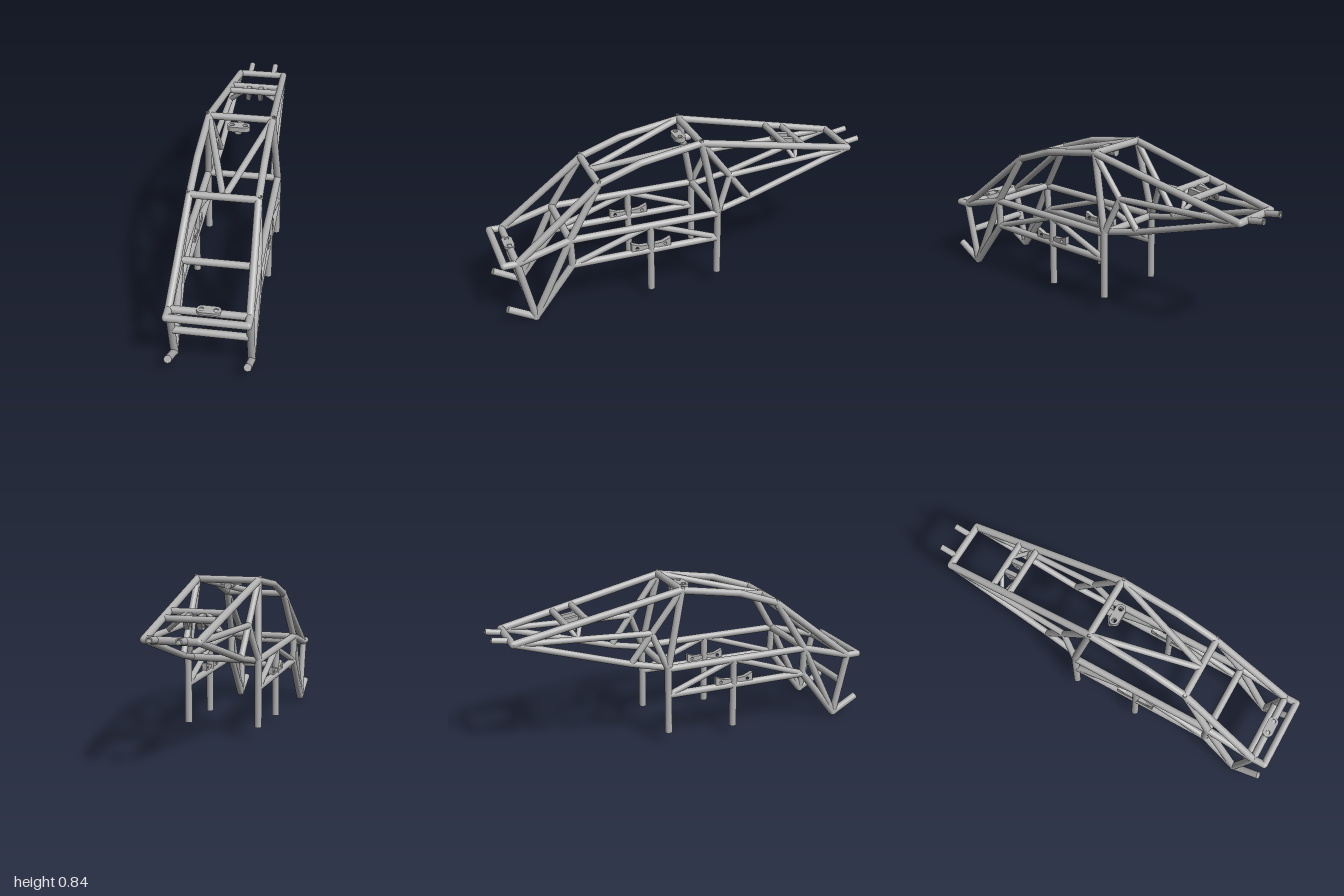
import * as THREE from 'three';

const steel = new THREE.MeshStandardMaterial({ color: 0xb0b0b0 });
steel.name = 'bare steel';

const R = 0.019;
const V = (p) => new THREE.Vector3(...p);
const mirror = (p) => [-p[0], p[1], p[2]];

export function createModel() {
  const model = new THREE.Group();
  model.name = 'tubeFrame';

  function add(name, geo, parent = model) {
    const mesh = new THREE.Mesh(geo, steel);
    mesh.name = name;
    parent.add(mesh);
    return mesh;
  }

  // Straight tube between two points; hollow tubes show their bore at both ends
  function tube(name, a, b, r = R, hollow = false) {
    const p = V(a), q = V(b), len = p.distanceTo(q), h = len / 2, i = r * 0.6;
    const geo = hollow
      ? new THREE.LatheGeometry(
        // doubled points keep the rims crisp
        [[i, -h], [i, -h], [r, -h], [r, -h], [r, h], [r, h], [i, h], [i, h], [i, -h]]
          .map(([x, y]) => new THREE.Vector2(x, y)), 20)
      : new THREE.CylinderGeometry(r, r, len, 20);
    const mesh = add(name, geo);
    mesh.position.copy(p).lerp(q, 0.5);
    mesh.quaternion.setFromUnitVectors(new THREE.Vector3(0, 1, 0), q.sub(p).normalize());
  }

  const pair = (name, a, b, r, hollow) => {
    tube(name + 'Left', a, b, r, hollow);
    tube(name + 'Right', mirror(a), mirror(b), r, hollow);
  };
  const cross = (name, p, r) => tube(name, p, mirror(p), r);
  const joint = (name, p, r = R) => {
    for (const q of [p, mirror(p)]) add(name, new THREE.SphereGeometry(r, 16, 12)).position.set(...q);
  };

  // Joints of the left side
  const nose = [0.188, 0.345, 0.915], bumper = [0.188, 0.345, 0.978];
  const toe = [0.188, 0.018, 0.842];
  const cowl = [0.188, 0.422, 0.645], sill = [0.188, 0.28, 0.64];
  const midTop = [0.188, 0.422, 0.228], hoopBase = [0.188, 0.422, -0.138];
  const sillBack = [0.188, 0.28, -0.138];
  const windshield = [0.165, 0.69, 0.482], roofBend = [0.165, 0.767, 0.265];
  const hoopTop = [0.163, 0.82, -0.055];
  const rearNode = [0.156, 0.612, -0.215], lowNode = [0.15, 0.464, -0.325];
  const tail = [0.127, 0.64, -0.908];

  // Bumper and nose
  cross('bumperBar', bumper);
  pair('bumperSide', bumper, nose);
  joint('bumperCorner', bumper);
  cross('noseBar', nose);
  joint('noseJoint', nose);
  pair('frontLeg', nose, [0.188, 0.008, 0.84], R, true);
  pair('frontFoot', toe, [0.188, 0.096, 0.982]);
  cross('frontLegBar', [0.18, 0.196, 0.885]);

  // Hood and front bracing
  pair('hoodTube', nose, windshield);
  pair('windshieldPillar', cowl, windshield);
  pair('noseBrace', nose, cowl);
  pair('toeUpperBrace', toe, cowl);
  pair('toeLowerBrace', toe, sill);
  cross('cowlBar', cowl);

  // Side frames
  pair('sideRail', cowl, hoopBase);
  pair('sillRail', sill, sillBack);
  pair('sidePost', cowl, sill);
  pair('sideDiagonalFront', sill, midTop, 0.016);
  pair('sideDiagonalBack', sillBack, midTop, 0.016);
  pair('middleLeg', midTop, [0.188, 0.05, 0.228], R, true);
  pair('rearLeg', [0.188, 0.435, -0.138], [0.188, 0.073, -0.138], R, true);
  cross('rearFloorBar', hoopBase);
  for (const p of [cowl, sill, sillBack, hoopBase]) joint('sideJoint', p);

  // Roof
  cross('windshieldHeader', windshield);
  pair('roofFront', windshield, roofBend);
  pair('roofRear', roofBend, hoopTop);
  joint('roofBend', roofBend);
  cross('hoopBar', hoopTop);
  pair('roofDiagonal', hoopTop, [0.006, 0.695, 0.475], 0.017);
  pair('hoopPost', hoopTop, hoopBase);
  pair('hoopTopStub', [0.17, 0.8, -0.056], [0.17, 0.842, -0.05], 0.01, true);
  pair('windshieldStub', [0.172, 0.67, 0.482], [0.172, 0.712, 0.482], 0.01, true);
  joint('windshieldJoint', windshield);
  joint('hoopJoint', hoopTop);

  // Rear frame
  pair('upperRearRail', hoopTop, tail);
  pair('middleRearRail', rearNode, tail, 0.016);
  pair('lowerRearRailFront', [0.165, 0.422, -0.138], lowNode, 0.017);
  pair('lowerRearRailBack', lowNode, tail, 0.017);
  joint('lowerRearJoint', lowNode, 0.017);
  pair('rearBrace', hoopTop, lowNode, 0.017);
  pair('rearNodeBrace', hoopBase, rearNode, 0.017);
  cross('tailBar', tail);
  joint('tailJoint', tail);
  pair('tailStub', [0.068, 0.64, -0.908], [0.068, 0.655, -1], 0.016, true);

  // Shock absorber mount
  cross('shockBarFront', [0.14, 0.717, -0.54], 0.017);
  cross('shockBarBack', [0.136, 0.697, -0.64], 0.017);
  pair('shockBraceFront', [0.138, 0.63, -0.592], [0.052, 0.714, -0.545], 0.012);
  pair('shockBraceBack', [0.138, 0.63, -0.592], [0.052, 0.696, -0.635], 0.012);

  // Plate with round holes, extruded along its own z and centred
  function plate(outline, holes, thick) {
    for (const [x, y, r] of holes) {
      outline.holes.push(new THREE.Path().absarc(x, y, r, 0, Math.PI * 2, true));
    }
    return new THREE.ExtrudeGeometry(outline, { depth: thick, bevelEnabled: false, curveSegments: 14 })
      .translate(0, 0, -thick / 2);
  }
  const polygon = (pts) => new THREE.Shape(pts.map(([x, y]) => new THREE.Vector2(x, y)));
  const capsule = (half, r) => new THREE.Shape()
    .absarc(half - r, 0, r, -Math.PI / 2, Math.PI / 2, false)
    .absarc(-half + r, 0, r, Math.PI / 2, Math.PI * 1.5, false);

  // Hanging triangular shock tabs (shape x runs towards the back)
  for (const x of [-0.033, 0.033]) {
    const tab = polygon([[-0.052, 0.045], [-0.016, -0.03], [0.014, -0.03], [0.05, 0.03]]);
    const mesh = add('shockTab', plate(tab, [[0, -0.008, 0.011]], 0.024));
    mesh.rotation.y = Math.PI / 2;
    mesh.position.set(x, 0.672, -0.59);
  }

  // Bow-tie side mounts, one wing on each side of the middle leg
  for (const x of [-0.188, 0.188]) {
    for (const s of [-1, 1]) {
      const pts = [[0.015, -0.012], [0.105, -0.028], [0.105, 0.027], [0.06, 0.008], [0.015, 0.006]];
      const wing = polygon(pts.map(([u, v]) => [u * s, v]));
      const mesh = add('sideMount', plate(wing, [[0.076 * s, -0.004, 0.008]], 0.025));
      mesh.rotation.y = Math.PI / 2;
      mesh.position.set(x, 0.312, 0.228);
    }
  }

  // Roof and nose mounting plates
  const mounts = [['roofMount', 0.801, 0.01, 0.026], ['noseMount', 0.36, 0.918, 0.014]];
  for (const [name, y, z, thick] of mounts) {
    const mesh = add(name, plate(capsule(0.058, 0.027), [[-0.034, 0, 0.012], [0.034, 0, 0.012]], thick));
    mesh.rotation.x = Math.PI / 2;
    mesh.position.set(0, y, z);
  }
  tube('roofMountStem', [0, 0.789, -0.055], [0, 0.789, 0.03], 0.02);

  return model;
}
